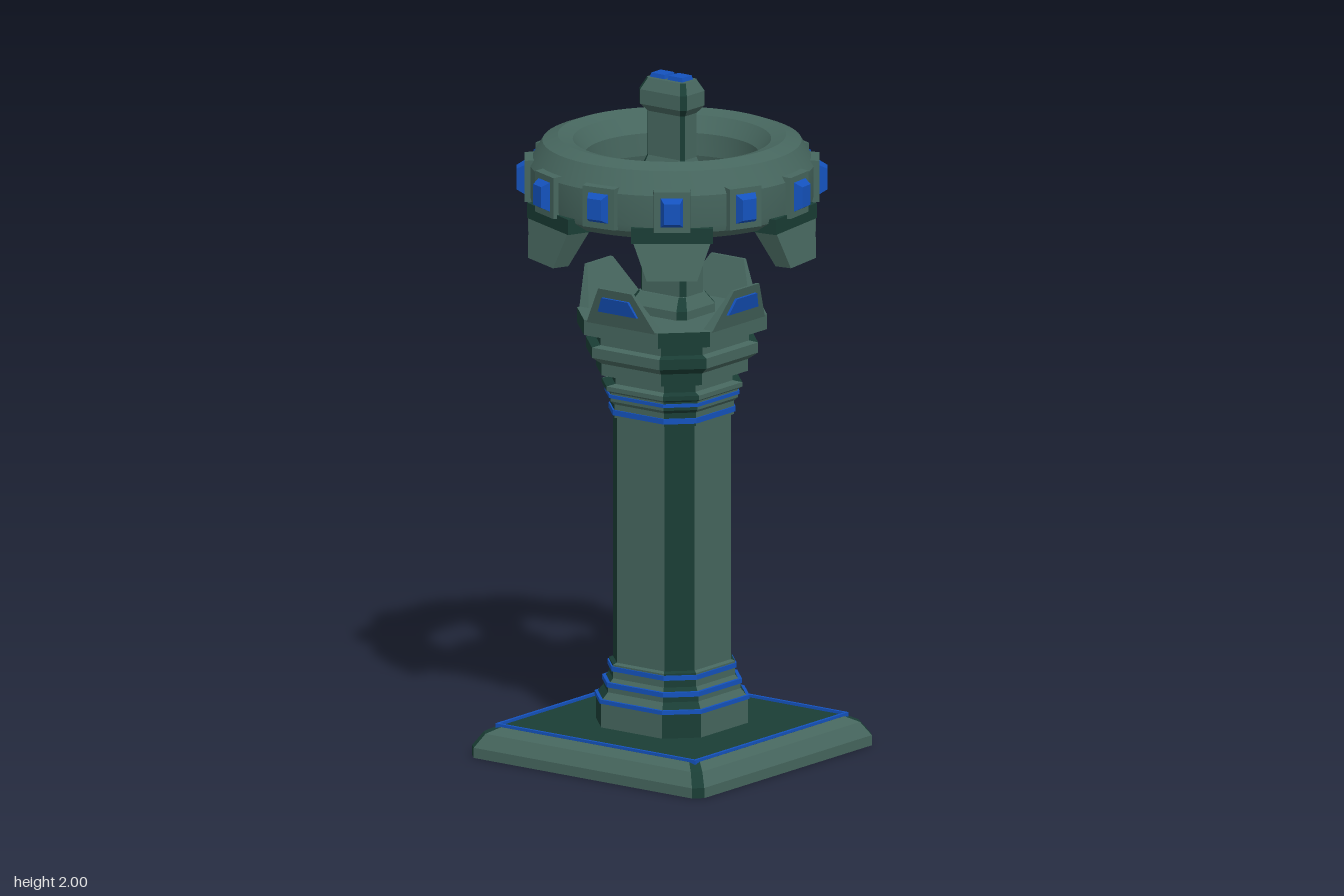
import * as THREE from 'three';
import { toCreasedNormals } from 'three/addons/utils/BufferGeometryUtils.js';

const mat = (color) => new THREE.MeshStandardMaterial({ color, flatShading: true });
const STONE = mat(0x46665e), DARK = mat(0x1a3d35), BLUE = mat(0x1452bd);

function add(parent, name, geometry, material) {
  const mesh = new THREE.Mesh(geometry, material);
  mesh.name = name;
  parent.add(mesh);
  return mesh;
}

// Stacked cut-corner rectangles; rows are [halfX, halfZ, cornerCut, y] from bottom to top.
// Flat sides and cut corners get their own materials.
function loft(parent, name, rows, sideMat = STONE, cornerMat = DARK, topMat = sideMat) {
  const group = new THREE.Group();
  group.name = name;
  parent.add(group);
  const loops = rows.map(([x, z, c, y]) => [
    [x, y, z - c], [x, y, c - z], [x - c, y, -z], [c - x, y, -z],
    [-x, y, c - z], [-x, y, z - c], [c - x, y, z], [x - c, y, z],
  ]);
  const sides = [], corners = [], top = [], bottom = [];
  for (let r = 0; r + 1 < loops.length; r++) {
    for (let i = 0; i < 8; i++) {
      const j = (i + 1) % 8, a = loops[r], b = loops[r + 1];
      (i % 2 ? corners : sides).push(a[i], a[j], b[j], a[i], b[j], b[i]);
    }
  }
  const first = loops[0], last = loops[loops.length - 1];
  for (let i = 1; i < 7; i++) {
    top.push(last[0], last[i], last[i + 1]);
    bottom.push(first[0], first[i + 1], first[i]);
  }
  const parts = [['Sides', sides, sideMat], ['Corners', corners, cornerMat], ['Top', top, topMat], ['Bottom', bottom, cornerMat]];
  for (const [label, points, material] of parts) {
    const g = new THREE.BufferGeometry();
    g.setAttribute('position', new THREE.Float32BufferAttribute(points.flat(), 3));
    g.computeVertexNormals();
    add(group, name + label, g, material);
  }
  return group;
}

// Square version: rows are [half, y]
const squareLoft = (parent, name, rows, cut, ...mats) =>
  loft(parent, name, rows.map(([h, y]) => [h, h, h * cut, y]), ...mats);

// Leaning trapezoid slab facing +z; each end is [y, width, innerZ, outerZ]
function slab(low, high) {
  const g = new THREE.BoxGeometry(1, 1, 1), p = g.attributes.position;
  for (let i = 0; i < p.count; i++) {
    const [y, w, zi, zo] = p.getY(i) < 0 ? low : high;
    p.setXYZ(i, p.getX(i) * w, y, p.getZ(i) > 0 ? zo : zi);
  }
  g.computeVertexNormals();
  return g;
}

// Block whose +z face is shrunk
function cutGem(w, h, d, shrink) {
  const g = new THREE.BoxGeometry(w, h, d), p = g.attributes.position;
  for (let i = 0; i < p.count; i++) {
    if (p.getZ(i) > 0) p.setXY(i, p.getX(i) * shrink, p.getY(i) * shrink);
  }
  g.computeVertexNormals();
  return g;
}

export function createModel() {
  const model = new THREE.Group();
  model.name = 'ringedPillar';

  // Base plate with a blue inlay line
  squareLoft(model, 'basePlate', [[0.42, 0], [0.42, 0.03], [0.395, 0.07], [0.362, 0.088]], 0.06, STONE, DARK, DARK);
  for (let i = 0; i < 4; i++) {
    const side = new THREE.Group();
    side.name = 'baseInlay';
    side.rotation.y = i * Math.PI / 2;
    add(side, 'inlayStrip', new THREE.BoxGeometry(0.722, 0.014, 0.009), BLUE).position.set(0, 0.089, 0.357);
    model.add(side);
  }

  // Column from foot to capital
  squareLoft(model, 'columnFoot', [[0.19, 0.088], [0.19, 0.165], [0.172, 0.19], [0.172, 0.21], [0.158, 0.23], [0.158, 0.27], [0.148, 0.275]], 0.42);
  squareLoft(model, 'columnShaft', [[0.148, 0.27], [0.148, 1.02]], 0.42);
  squareLoft(model, 'columnCollar', [[0.155, 1.0], [0.155, 1.04], [0.165, 1.05], [0.165, 1.075], [0.176, 1.082], [0.176, 1.095], [0.152, 1.1], [0.152, 1.13]], 0.42);
  squareLoft(model, 'capital', [[0.152, 1.125], [0.192, 1.13], [0.192, 1.165], [0.218, 1.185], [0.218, 1.215],
    [0.195, 1.22], [0.195, 1.25], [0.24, 1.255], [0.24, 1.3]], 0.44);
  for (const [half, y, h] of [[0.194, 0.165, 0.012], [0.175, 0.212, 0.014], [0.162, 0.258, 0.014], [0.159, 1.016, 0.016], [0.169, 1.065, 0.01]]) {
    squareLoft(model, 'columnBand', [[half, y - h / 2], [half, y + h / 2]], 0.42, BLUE, BLUE);
  }

  // Four leaning flaps around the capital, each with a blue inset
  for (let i = 0; i < 4; i++) {
    const flap = new THREE.Group();
    flap.name = 'capitalFlap';
    flap.rotation.y = i * Math.PI / 2;
    add(flap, 'flapPlate', slab([1.295, 0.25, 0.205, 0.24], [1.41, 0.12, 0.26, 0.27]), STONE);
    add(flap, 'flapInset', slab([1.338, 0.14, 0.24, 0.259], [1.384, 0.095, 0.255, 0.272]), BLUE);
    model.add(flap);
  }

  // Central post
  loft(model, 'postCollar', [[0.088, 0.105, 0.022, 1.295], [0.088, 0.105, 0.022, 1.325], [0.06, 0.085, 0.015, 1.36]]);
  loft(model, 'postLower', [[0.053, 0.082, 0.014, 1.34], [0.053, 0.082, 0.014, 1.72], [0.037, 0.068, 0.01, 1.76]]);
  loft(model, 'postUpper', [[0.037, 0.068, 0.01, 1.74], [0.037, 0.068, 0.01, 1.92]]);
  loft(model, 'postHead', [[0.037, 0.068, 0.01, 1.89], [0.056, 0.086, 0.014, 1.912], [0.056, 0.086, 0.014, 1.955], [0.038, 0.07, 0.012, 1.988]]);
  for (let i = 0; i < 6; i++) {
    const y = 1.515 + i * 0.036;
    loft(model, 'postBand', [[0.058, 0.086, 0.014, y], [0.058, 0.086, 0.014, y + 0.014]], BLUE, BLUE);
  }
  for (const z of [-0.034, 0.03]) {
    const gem = add(model, 'headGem', cutGem(0.056, 0.06, 0.024, 0.8), BLUE);
    gem.rotation.x = -Math.PI / 2;
    gem.position.set(0, 1.988, z);
  }

  // Floating ring
  const profile = [[0.26, 1.64], [0.285, 1.615], [0.37, 1.605], [0.405, 1.63], [0.41, 1.65], [0.41, 1.74],
    [0.372, 1.805], [0.328, 1.822], [0.285, 1.81], [0.25, 1.765], [0.245, 1.7], [0.26, 1.64]];
  const ring = new THREE.LatheGeometry(profile.map(([r, y]) => new THREE.Vector2(r, y)), 64);
  const ringMat = new THREE.MeshStandardMaterial({ color: 0x46665e });
  add(model, 'floatingRing', toCreasedNormals(ring, 0.3), ringMat);

  // Twelve gems around the ring, with a claw below every other one
  for (let i = 0; i < 12; i++) {
    const unit = new THREE.Group();
    unit.name = 'ringSegment';
    unit.rotation.y = THREE.MathUtils.degToRad(7.5 + i * 30);
    add(unit, 'gemFrame', cutGem(0.112, 0.13, 0.05, 0.93), STONE).position.set(0, 1.695, 0.398);
    add(unit, 'ringGem', cutGem(0.074, 0.098, 0.035, 0.62), BLUE).position.set(0, 1.695, 0.429);
    if (i % 2 === 0) {
      add(unit, 'clawRoot', slab([1.6, 0.235, 0.33, 0.412], [1.645, 0.235, 0.33, 0.412]), DARK);
      add(unit, 'claw', slab([1.495, 0.145, 0.385, 0.436], [1.605, 0.225, 0.335, 0.41]), STONE);
    }
    model.add(unit);
  }
  return model;
}
